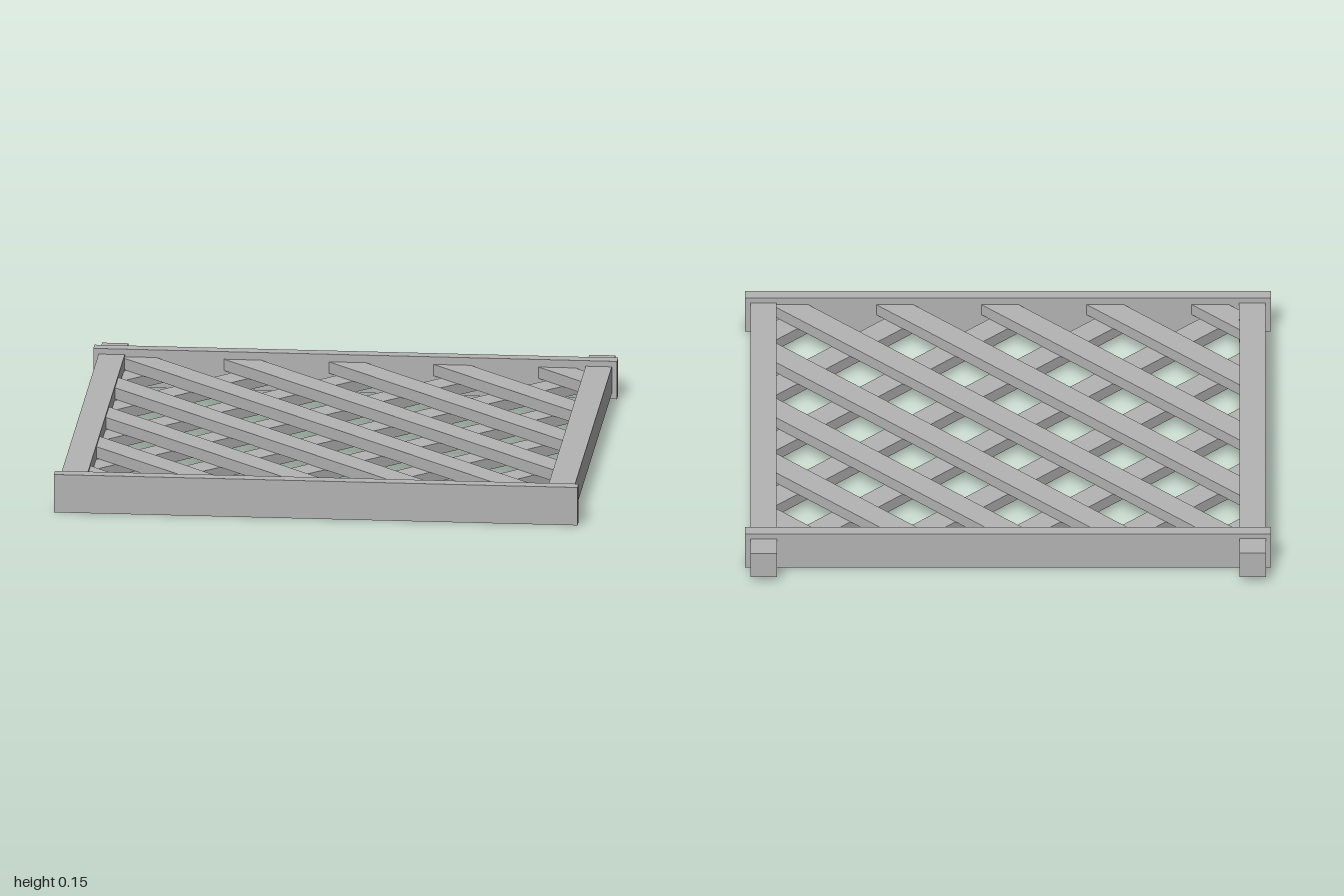
import * as THREE from 'three';

// Opening inside the frame that the lattice fills
const X = 0.88, Z0 = -0.78, Z1 = 0.88;
const SPACING = 0.4, HALF = 0.0707;

// Keep the part of a polygon where f(point) >= 0
function clip(points, f) {
  const out = [];
  points.forEach((a, i) => {
    const b = points[(i + 1) % points.length];
    const fa = f(a), fb = f(b);
    if (fa >= 0) out.push(a);
    if (fa * fb < 0) out.push(a.clone().lerp(b, fa / (fa - fb)));
  });
  return out;
}

export function createModel() {
  const model = new THREE.Group();
  model.name = 'latticePanel';
  const paint = new THREE.MeshStandardMaterial({ color: 0xb4b4b4 });
  paint.name = 'plain grey';

  function box(name, w, h, d, x, y, z) {
    const mesh = new THREE.Mesh(new THREE.BoxGeometry(w, h, d), paint);
    mesh.name = name;
    mesh.position.set(x, y, z);
    model.add(mesh);
  }

  // Side beams, whose ends stick out past the back rail
  box('leftBeam', 0.1, 0.106, 1.82, 0.93, 0.075, -0.025);
  box('rightBeam', 0.1, 0.106, 1.82, -0.93, 0.075, -0.025);

  // Cross rails
  box('frontRail', 2, 0.15, 0.05, 0, 0.075, 0.905);
  box('backRail', 2, 0.15, 0.05, 0, 0.075, -0.805);

  // One layer of diagonal slats, trimmed to the frame opening
  function slatLayer(name, slope, bottom, thickness) {
    const layer = new THREE.Group();
    layer.name = name;
    const zMid = (Z0 + Z1) / 2;
    for (let k = -4; k <= 4; k++) {
      const offset = (p) => p.x + slope * (p.y + zMid) - k * SPACING;
      let points = [[-X, -Z1], [X, -Z1], [X, -Z0], [-X, -Z0]].map(([x, y]) => new THREE.Vector2(x, y));
      points = clip(points, (p) => HALF - offset(p));
      points = clip(points, (p) => HALF + offset(p));
      if (points.length < 3) continue;
      const geometry = new THREE.ExtrudeGeometry(new THREE.Shape(points), { depth: thickness, bevelEnabled: false });
      geometry.rotateX(-Math.PI / 2);
      const slat = new THREE.Mesh(geometry, paint);
      slat.name = 'slat';
      slat.position.y = bottom;
      layer.add(slat);
    }
    model.add(layer);
  }
  slatLayer('upperSlats', 1, 0.075, 0.045);
  slatLayer('lowerSlats', -1, 0.03, 0.045);

  return model;
}
